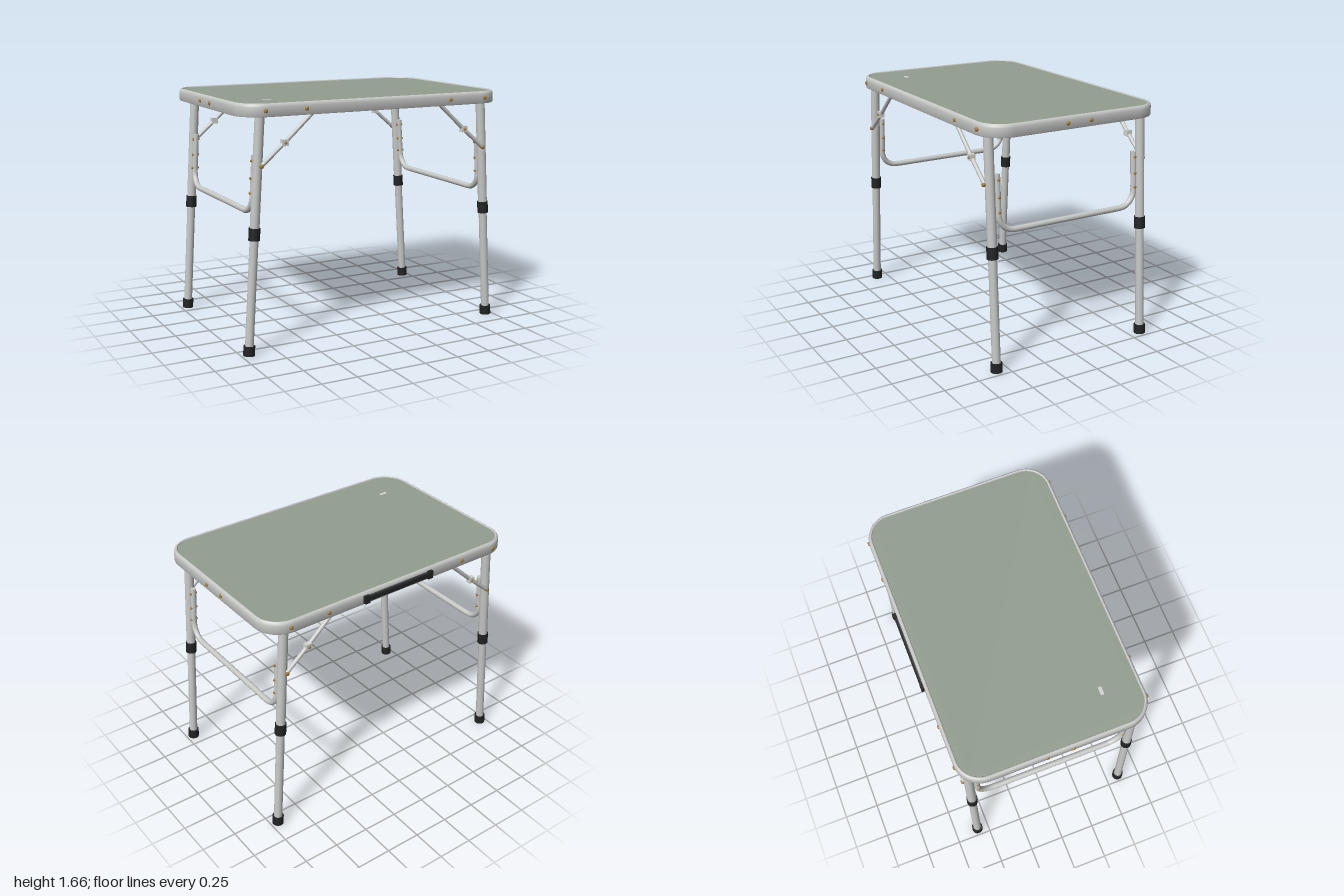
import * as THREE from 'three';
import { toCreasedNormals } from 'three/addons/utils/BufferGeometryUtils.js';

const mat = (name, color) => {
  const m = new THREE.MeshStandardMaterial({ color });
  m.name = name;
  return m;
};

export function createModel() {
  const aluminium = mat('aluminium', 0xc6c8c6);
  const sage = mat('sage panel', 0x929e8f);
  const black = mat('black plastic', 0x222324);
  const brass = mat('brass', 0xa87f3c);
  const pale = mat('pale label', 0xd2d5cf);
  const charcoal = mat('charcoal', 0x454648);

  const table = new THREE.Group();
  table.name = 'foldingTable';
  const body = new THREE.Group();
  body.name = 'tableBody';
  body.position.z = 0.004;
  table.add(body);

  const add = (parent, name, geo, material, x = 0, y = 0, z = 0) => {
    const m = new THREE.Mesh(geo, material);
    m.name = name;
    m.position.set(x, y, z);
    parent.add(m);
    return m;
  };
  const V = (x, y, z) => new THREE.Vector3(x, y, z);
  const UP = V(0, 1, 0);

  // Cylinder between two points
  const rod = (parent, name, a, b, r, material, sides = 24) => {
    const d = b.clone().sub(a);
    const m = add(parent, name, new THREE.CylinderGeometry(r, r, d.length(), sides), material);
    m.position.copy(a).add(b).multiplyScalar(0.5);
    m.quaternion.setFromUnitVectors(UP, d.normalize());
    return m;
  };

  // Low domed rivet whose head points along dir
  const rivet = (parent, pos, dir, r = 0.014) => {
    const profile = [[0, -0.012], [r, -0.012], [r, 0.003], [r * 0.75, 0.008], [0, 0.01]];
    const geo = new THREE.LatheGeometry(profile.map(([x, y]) => new THREE.Vector2(x, y)), 16);
    const m = add(parent, 'rivet', geo, brass);
    m.position.copy(pos);
    m.quaternion.setFromUnitVectors(UP, dir);
  };

  // Rounded rectangle outline of the table top, shrunk by inset
  const W = 0.99, D = 0.659, R = 0.18, STEPS = 14;
  const outline = (inset) => {
    const pts = [];
    [[1, 1], [-1, 1], [-1, -1], [1, -1]].forEach(([sx, sz], i) => {
      for (let k = 0; k <= STEPS; k++) {
        const a = (i + k / STEPS) * Math.PI / 2;
        pts.push([sx * (W - R) + Math.cos(a) * (R - inset), sz * (D - R) + Math.sin(a) * (R - inset)]);
      }
    });
    return pts;
  };

  // Frame: closed [inset, y] section swept around the outline
  const section = [[0.003, 1.575], [0, 1.58], [0, 1.636], [0.003, 1.648], [0.01, 1.657],
    [0.016, 1.66], [0.022, 1.658], [0.026, 1.65], [0.026, 1.575]];
  const loops = section.map(([inset, y]) => outline(inset).map(([x, z]) => [x, y, z]));
  const pos = [], index = [], n = loops[0].length;
  loops.forEach((loop) => loop.forEach((p) => pos.push(...p)));
  for (let s = 0; s < section.length; s++) {
    const t = (s + 1) % section.length;
    for (let k = 0; k < n; k++) {
      const l = (k + 1) % n;
      const a = s * n + k, b = s * n + l, c = t * n + l, d = t * n + k;
      index.push(a, d, c, a, c, b);
    }
  }
  let frame = new THREE.BufferGeometry();
  frame.setAttribute('position', new THREE.Float32BufferAttribute(pos, 3));
  frame.setIndex(index);
  frame = toCreasedNormals(frame, 0.7);
  add(body, 'frame', frame, aluminium);

  // Panel inside the frame
  const panelShape = new THREE.Shape(outline(0.025).map(([x, z]) => new THREE.Vector2(x, z)));
  const panel = new THREE.ExtrudeGeometry(panelShape, { depth: 0.07, bevelEnabled: false });
  panel.rotateX(-Math.PI / 2);
  add(body, 'panel', panel, sage, 0, 1.582, 0);
  add(body, 'label', new THREE.BoxGeometry(0.056, 0.004, 0.024), pale, -0.71, 1.654, 0.39);

  // Frame rivets
  for (const s of [-1, 1]) {
    for (const x of [-0.835, -0.55, 0.55, 0.835]) {
      rivet(body, V(x, 1.615, s * D), V(0, 0, s));
    }
    for (const z of [-0.088, 0.088]) rivet(body, V(s * W, 1.615, z), V(s, 0, 0));
  }

  // Carrying handle on the back edge
  const handle = new THREE.Group();
  handle.name = 'handle';
  body.add(handle);
  add(handle, 'handleBase', new THREE.BoxGeometry(0.56, 0.045, 0.008), charcoal, 0, 1.612, -0.662);
  add(handle, 'handleGrip', new THREE.BoxGeometry(0.5, 0.03, 0.012), black, 0, 1.612, -0.672);
  for (const s of [-1, 1]) {
    add(handle, 'handleEnd', new THREE.BoxGeometry(0.04, 0.055, 0.02), black, s * 0.262, 1.612, -0.669);
  }

  // Leg centre line leans outward toward the floor
  const LEG_Z = 0.587;
  const legX = (y) => 0.95 - 0.0648 * y;

  for (const sx of [-1, 1]) {
    for (const sz of [-1, 1]) {
      const leg = new THREE.Group();
      leg.name = (sz > 0 ? 'front' : 'back') + (sx > 0 ? 'Left' : 'Right') + 'Leg';
      body.add(leg);
      const at = (y) => V(sx * legX(y), y, sz * LEG_Z);
      rod(leg, 'upperTube', at(0.8), at(1.582), 0.032, aluminium);
      rod(leg, 'lowerTube', at(0.03), at(0.82), 0.029, aluminium);
      rod(leg, 'collar', at(0.775), at(0.857), 0.038, black);
      rod(leg, 'foot', at(0.003), at(0.068), 0.039, black);

      // Folding brace with a square hinge plate
      const z = sz * 0.617;
      const low = V(sx * 0.855, 1.26, z), mid = V(sx * 0.69, 1.4, z), high = V(sx * 0.485, 1.585, z);
      rod(leg, 'lowerBrace', low, mid, 0.014, aluminium, 16);
      rod(leg, 'upperBrace', mid, high, 0.014, aluminium, 16);
      add(leg, 'hingePlate', new THREE.BoxGeometry(0.044, 0.042, 0.036), pale, mid.x, mid.y, z);
      rivet(leg, V(mid.x, mid.y, sz * 0.634), V(0, 0, sz), 0.01);
      rivet(leg, V(low.x, low.y, sz * 0.627), V(0, 0, sz));
    }

    // U-shaped stretcher lying in the plane of the leg pair
    const stretcher = new THREE.Group();
    stretcher.name = (sx > 0 ? 'left' : 'right') + 'Stretcher';
    body.add(stretcher);
    const P = (y, z) => V(sx * legX(y), y, z);
    const Z = 0.533, LOW = 0.943, BEND = 0.115;
    const path = [P(1.32, Z), P(1.2, Z)];
    for (const s of [1, -1]) {
      for (let k = 0; k <= 8; k++) {
        const a = (s > 0 ? k : 8 - k) / 8 * Math.PI / 2;
        path.push(P(LOW + BEND * (1 - Math.sin(a)), s * (Z - BEND + BEND * Math.cos(a))));
      }
      if (s > 0) path.push(P(LOW, 0.2), P(LOW, -0.2));
    }
    path.push(P(1.2, -Z), P(1.32, -Z));
    const curve = new THREE.CatmullRomCurve3(path);
    add(stretcher, 'stretcherTube', new THREE.TubeGeometry(curve, 120, 0.02, 16), aluminium);
    for (const s of [-1, 1]) {
      rod(stretcher, 'stretcherCap', P(1.315, s * Z), P(1.321, s * Z), 0.02, aluminium, 16);
      for (const y of [1.285, 1.172, 1.075]) {
        for (const d of [-1, 1]) {
          rivet(stretcher, P(y, s * Z).add(V(d * 0.018, 0, 0)), V(d, 0, 0), 0.01);
        }
      }
    }
  }
  return table;
}
